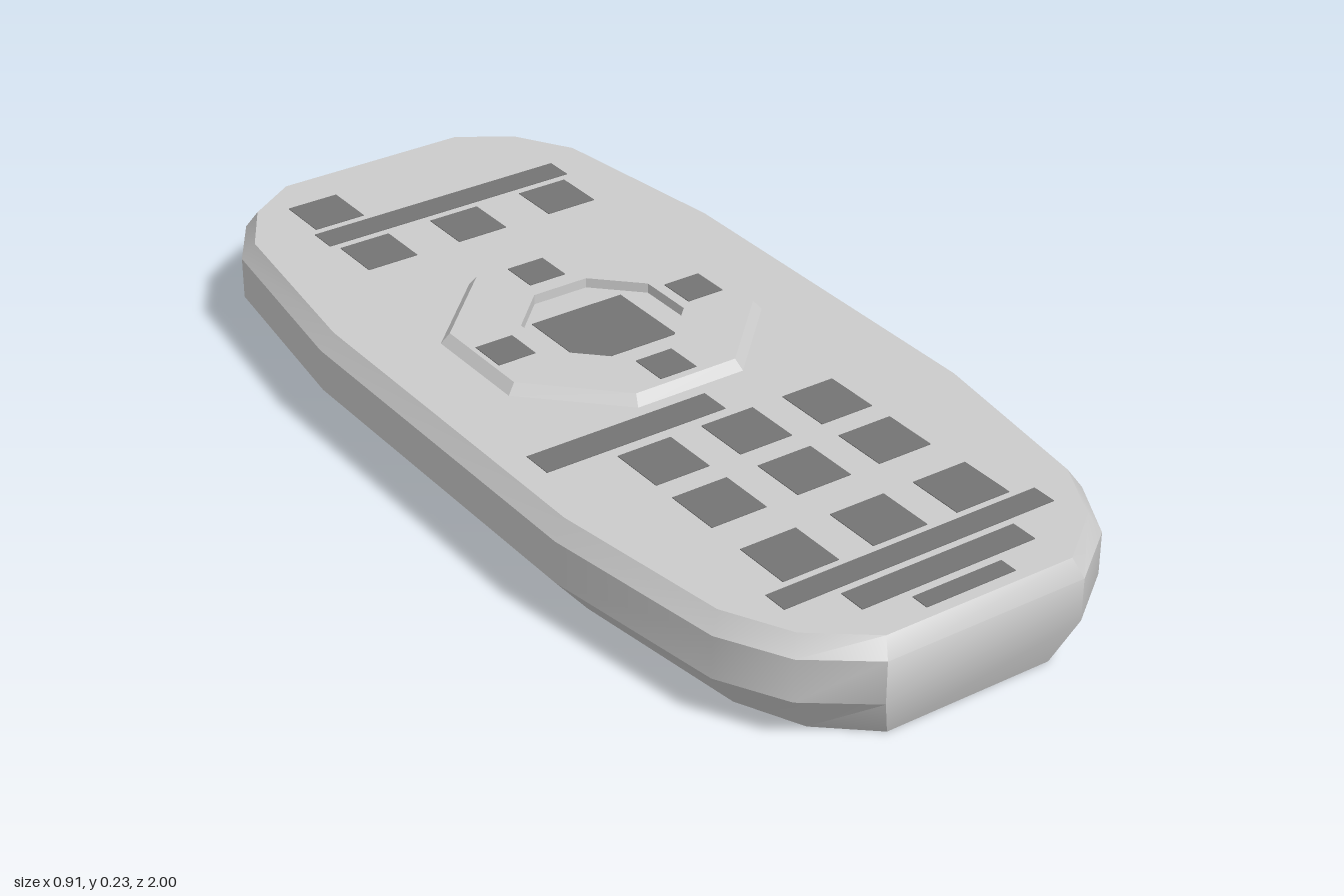
import * as THREE from 'three';
import { toCreasedNormals } from 'three/addons/utils/BufferGeometryUtils.js';

const grey = new THREE.MeshStandardMaterial({ color: 0xcccccc });
const dark = new THREE.MeshStandardMaterial({ color: 0x747474 });

// Skin a stack of outlines [[x, y, z], ...]; optionally close both ends.
function loft(rings, capped, crease) {
  const n = rings[0].length;
  const index = [];
  for (let r = 0; r < rings.length - 1; r++) {
    for (let i = 0; i < n; i++) {
      const a = r * n + i, b = r * n + (i + 1) % n;
      index.push(a, b, b + n, a, b + n, a + n);
    }
  }
  if (capped) {
    const top = (rings.length - 1) * n;
    for (let i = 1; i < n - 1; i++) {
      index.push(0, i + 1, i, top, top + i, top + i + 1);
    }
  }
  const geometry = new THREE.BufferGeometry();
  geometry.setAttribute('position', new THREE.Float32BufferAttribute(rings.flat(2), 3));
  geometry.setIndex(index);
  return toCreasedNormals(geometry, crease);
}

function addMesh(parent, name, geometry, material) {
  const mesh = new THREE.Mesh(geometry, material);
  mesh.name = name;
  parent.add(mesh);
  return mesh;
}

// Flush key given by its edges, with its face just above the surface at y.
function addKey(parent, name, x0, x1, z0, z1, y) {
  const key = addMesh(parent, name, new THREE.BoxGeometry(x1 - x0, 0.008, z1 - z0), dark);
  key.position.set((x0 + x1) / 2, y - 0.0025, (z0 + z1) / 2);
}

export function createModel() {
  const model = new THREE.Group();
  model.name = 'remoteControl';

  // Case: right-hand half outline from front to back, mirrored to the left
  const half = [[0.21, 1], [0.33, 0.91], [0.4, 0.78], [0.455, 0.4],
    [0.455, -0.4], [0.4, -0.81], [0.325, -0.93], [0.215, -1]];
  const outline = [...half, ...half.map(([x, z]) => [-x, z]).reverse()];
  const layers = [[0, 0.835, 0.965], [0.09, 1, 1], [0.175, 1, 1], [0.21, 0.945, 0.979]];
  const caseRings = layers.map(([y, sx, sz]) => outline.map(([x, z]) => [x * sx, y, z * sz]));
  addMesh(model, 'case', loft(caseRings, true, 0.55), grey);

  // Raised octagonal navigation ring with an open centre
  const octagon = (r, y) => {
    const c = r * 0.41;
    return [[-c, r], [c, r], [r, c], [r, -c], [c, -r], [-c, -r], [-r, -c], [-r, c]]
      .map(([x, z]) => [x, y, z]);
  };
  const ring = loft([octagon(0.287, 0.209), octagon(0.27, 0.23),
    octagon(0.145, 0.23), octagon(0.145, 0.209)], false, 0.3);
  addMesh(model, 'navigationRing', ring, grey).position.set(0, 0, -0.124);

  // Navigation keys
  const nav = new THREE.Group();
  nav.name = 'navigationKeys';
  model.add(nav);
  addKey(nav, 'selectKey', -0.107, 0.096, -0.205, -0.02, 0.21);
  addKey(nav, 'upKey', -0.045, 0.035, -0.385, -0.305, 0.23);
  addKey(nav, 'downKey', -0.045, 0.035, 0.05, 0.13, 0.23);
  addKey(nav, 'leftKey', -0.26, -0.18, -0.16, -0.08, 0.23);
  addKey(nav, 'rightKey', 0.167, 0.247, -0.16, -0.08, 0.23);

  // Square keys: row edges in z, key size in x, left edge of each key
  const keys = new THREE.Group();
  keys.name = 'squareKeys';
  model.add(keys);
  const rows = [
    [-0.886, -0.775, 0.11, [-0.249]],
    [-0.678, -0.568, 0.11, [-0.249, -0.042, 0.17]],
    [0.28, 0.398, 0.114, [-0.243, -0.062, 0.119]],
    [0.446, 0.562, 0.116, [-0.243, -0.06, 0.119]],
    [0.643, 0.762, 0.117, [-0.243, -0.053, 0.129]],
  ];
  for (const [z0, z1, w, starts] of rows) {
    for (const x of starts) addKey(keys, 'key', x, x + w, z0, z1, 0.21);
  }

  // Long bars
  const bars = new THREE.Group();
  bars.name = 'bars';
  model.add(bars);
  for (const edges of [
    [-0.262, 0.3, -0.757, -0.697],
    [-0.375, 0.01, 0.19, 0.255],
    [-0.29, 0.29, 0.777, 0.828],
    [-0.185, 0.185, 0.844, 0.9],
    [-0.095, 0.095, 0.918, 0.955],
  ]) addKey(bars, 'bar', ...edges, 0.21);

  return model;
}
